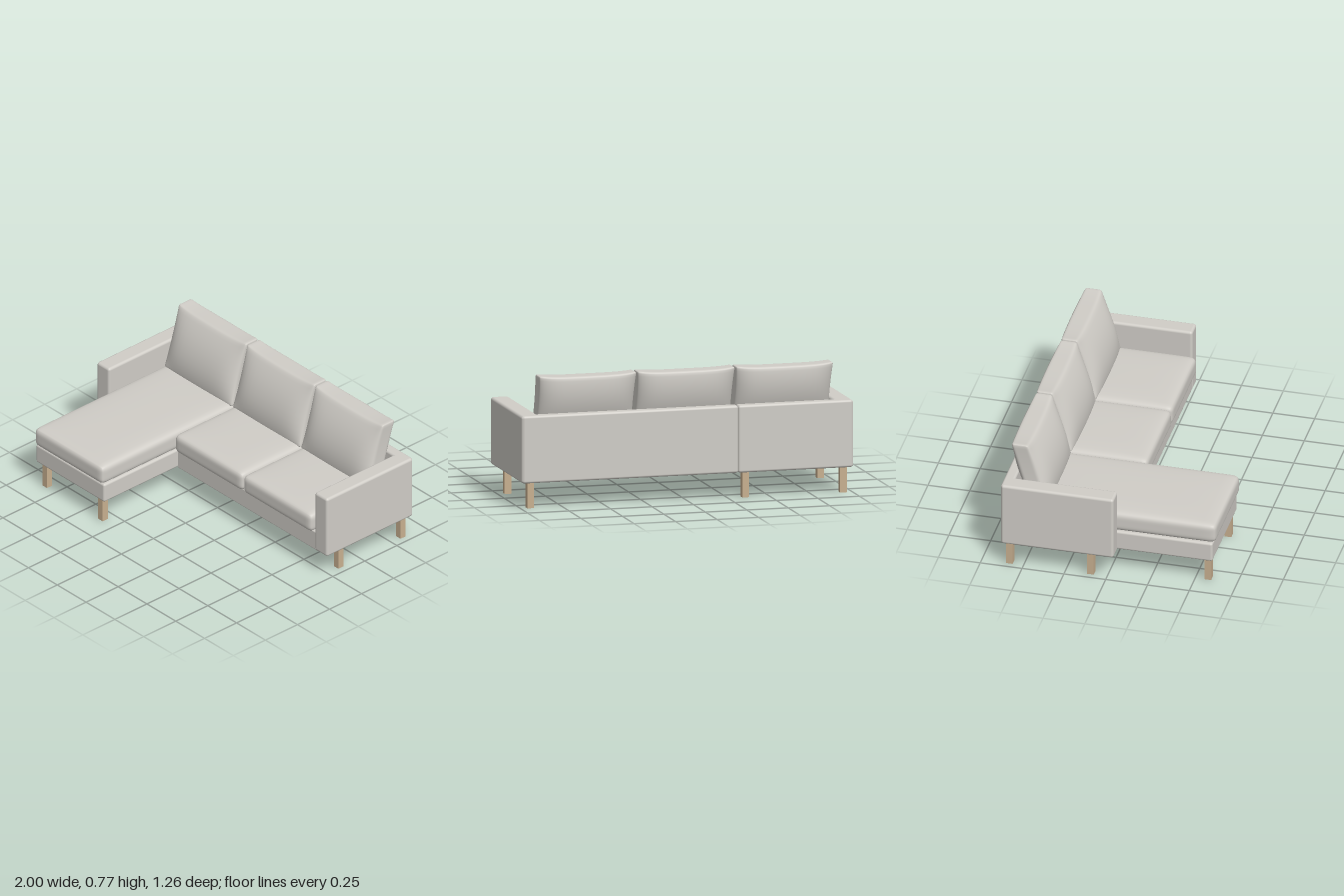
import * as THREE from 'three';
import { mergeVertices } from 'three/addons/utils/BufferGeometryUtils.js';
import { RoundedBoxGeometry } from 'three/addons/geometries/RoundedBoxGeometry.js';

const fabric = new THREE.MeshStandardMaterial({ color: 0xd0cdc7 });
fabric.name = 'light grey fabric';
const wood = new THREE.MeshStandardMaterial({ color: 0xc8b090 });
wood.name = 'pale wood';

// Finely divided rounded box, reshaped by a rule bend(p, u, v, w) with u, v, w from -1 to 1
function softBox(sx, sy, sz, r, bend) {
  const g = new THREE.BoxGeometry(2, 2, 2, 20, 16, 16);
  g.deleteAttribute('uv');
  g.deleteAttribute('normal');
  const pos = g.attributes.position;
  const half = new THREE.Vector3(sx, sy, sz).multiplyScalar(0.5);
  const inner = half.clone().subScalar(r);
  const low = inner.clone().negate();
  const p = new THREE.Vector3(), core = new THREE.Vector3();
  // gather the divisions towards the edges
  const ease = (t) => Math.sign(t) * (1 - (1 - Math.abs(t)) ** 2);
  for (let i = 0; i < pos.count; i++) {
    p.fromBufferAttribute(pos, i);
    p.set(ease(p.x), ease(p.y), ease(p.z)).multiply(half);
    core.copy(p).clamp(low, inner);
    p.sub(core).setLength(r).add(core);
    bend(p, p.x / half.x, p.y / half.y, p.z / half.z);
    pos.setXYZ(i, p.x, p.y, p.z);
  }
  const merged = mergeVertices(g, 1e-5);
  merged.computeVertexNormals();
  return merged;
}

export function createModel() {
  const sofa = new THREE.Group();
  sofa.name = 'chaiseSofa';

  const add = (name, geometry, material, x = 0, y = 0, z = 0) => {
    const mesh = new THREE.Mesh(geometry, material);
    mesh.name = name;
    mesh.position.set(x, y, z);
    sofa.add(mesh);
    return mesh;
  };

  // Upholstered panel given by its limits
  const panel = (name, x0, x1, y0, y1, z0, z1, r = 0.014) =>
    add(name, new RoundedBoxGeometry(x1 - x0, y1 - y0, z1 - z0, 4, r), fabric,
      (x0 + x1) / 2, (y0 + y1) / 2, (z0 + z1) / 2);

  // Frame: seat bases, arms and the back in two sections
  panel('seatBase', -0.303, 0.92, 0.15, 0.275, -0.6, 0.042, 0.008);
  panel('chaiseBase', -0.897, -0.303, 0.15, 0.272, -0.6, 0.612);
  panel('rightArm', -1, -0.892, 0.15, 0.547, -0.628, 0.045, 0.016);
  panel('leftArm', 0.892, 1, 0.15, 0.547, -0.628, 0.045, 0.016);
  panel('chaiseBack', -0.995, -0.305, 0.15, 0.547, -0.63, -0.565);
  panel('seatBack', -0.305, 0.995, 0.15, 0.547, -0.63, -0.565);

  // Seat cushions with a gently crowned top
  const seatCushion = (name, x0, x1, z0, z1) => {
    const geometry = softBox(x1 - x0, 0.122, z1 - z0, 0.034, (p, u, v, w) => {
      if (v > 0) p.y += 0.011 * v * (1 - u ** 4) * (1 - w ** 4);
    });
    add(name, geometry, fabric, (x0 + x1) / 2, 0.333, (z0 + z1) / 2);
  };
  seatCushion('chaiseCushion', -0.897, -0.301, -0.56, 0.63);
  seatCushion('middleSeatCushion', -0.299, 0.292, -0.56, 0.074);
  seatCushion('leftSeatCushion', 0.294, 0.89, -0.56, 0.074);

  // Leaning back cushions: plump faces, narrow side gusset, raised top corners
  const bottom = 0.385, height = 0.375;
  const backCushion = softBox(0.588, height, 0.1, 0.014, (p, u, v, w) => {
    const puff = 0.042 * Math.max(0, 1 - v * v) * (1 - u ** 6);
    p.z += w * (puff + 0.007 * (1 - u * u)) - 0.31 * p.y;
    if (v > 0) p.y += 0.011 * v * u ** 4;
    p.x -= 0.008 * Math.sign(u) * Math.abs(u) * (1 - v * v);
  });
  ['right', 'middle', 'left'].forEach((side, i) =>
    add(side + 'BackCushion', backCushion, fabric,
      (i - 1) * 0.593 - 0.003, bottom + height / 2, -0.485));

  // Square wooden legs
  const leg = new THREE.BoxGeometry(0.04, 0.155, 0.04);
  [
    [-0.945, -0.585], [-0.355, -0.585], [0.94, -0.585],
    [-0.945, -0.1], [0.94, -0.1],
    [-0.838, 0.575], [-0.355, 0.575],
  ].forEach(([x, z], i) => add('leg' + (i + 1), leg, wood, x, 0.0775, z));

  return sofa;
}
